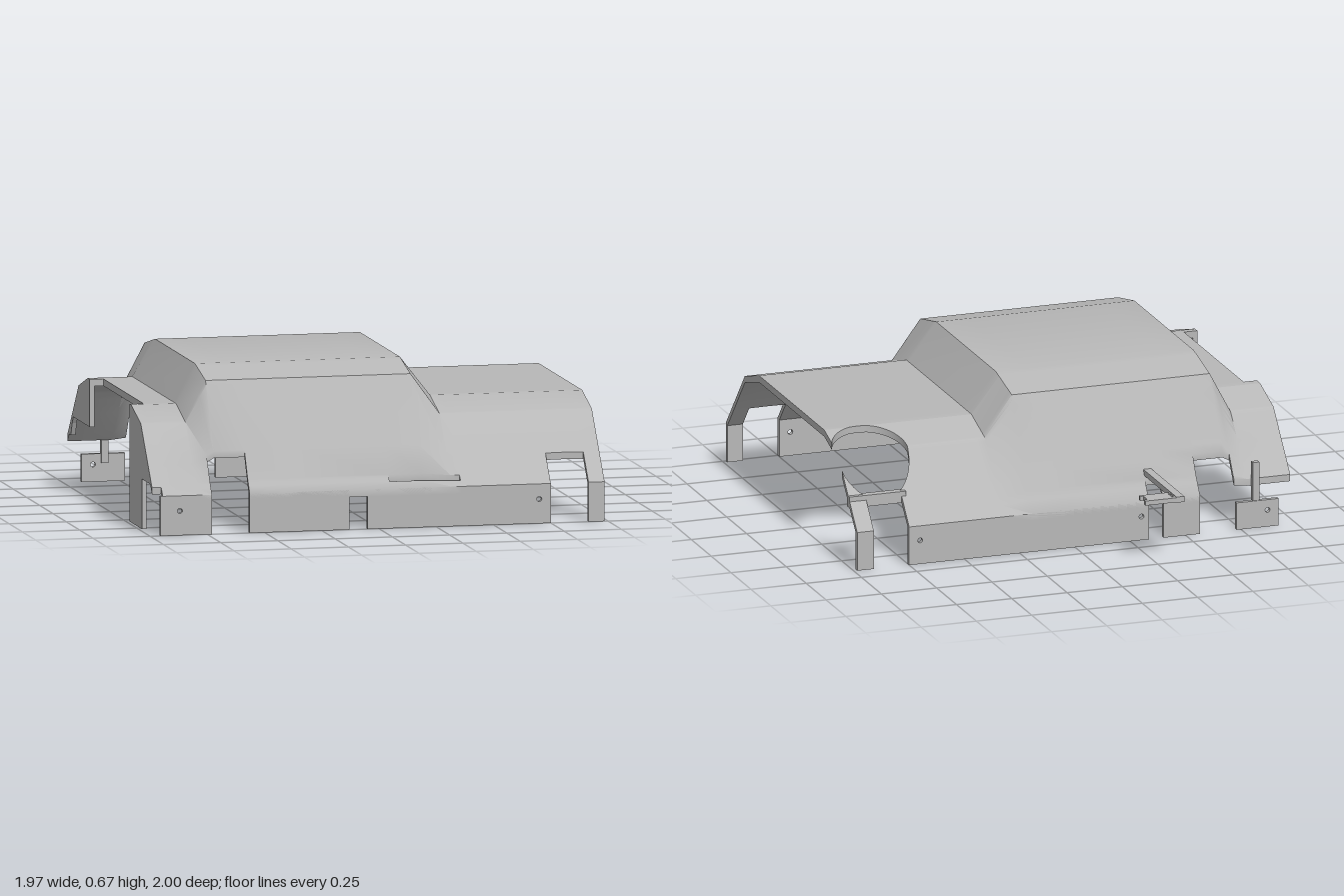
import * as THREE from 'three';
import { toCreasedNormals } from 'three/addons/utils/BufferGeometryUtils.js';

const THICK = 0.03;

// Piecewise-linear lookup in a table of [key, ...values]
function sample(table, k, col = 1) {
  for (let i = 1; i < table.length; i++) {
    const a = table[i - 1], b = table[i];
    if (k <= b[0]) {
      const t = Math.min(1, Math.max(0, (k - a[0]) / (b[0] - a[0])));
      return a[col] + (b[col] - a[col]) * t;
    }
  }
  return table[table.length - 1][col];
}

// Height profiles along z: low body and raised middle, mixed along x
const body = [[-0.655, 0.17], [-0.41, 0.45], [-0.24, 0.505], [0.58, 0.505], [0.76, 0.45], [1, 0.17]];
const raised = [[-0.655, 0.17], [-0.61, 0.235], [-0.4, 0.625], [-0.2, 0.67], [0.55, 0.67], [0.75, 0.625], [0.965, 0.22], [1, 0.17]];
const mix = [[-0.985, 0], [-0.79, 0], [-0.7, 1], [0.195, 1], [0.32, 0], [0.985, 0]];
function height(x, z) {
  const t = sample(mix, x), b = sample(body, z);
  return b + t * (Math.max(b, sample(raised, z)) - b);
}

// Left and right limits of the opening on the +x side: rear notch, round hole, front notch
const gap = [[-0.655, 0.75, 0.91], [-0.56, 0.75, 0.91]];
for (let k = 4; k <= 24; k++) {
  const a = (k / 24) * Math.PI, h = Math.max(0, 0.165 * Math.sin(a));
  gap.push([-0.4 - 0.165 * Math.cos(a), 0.835 - h, Math.min(0.985, 0.835 + h)]);
}
gap.push([0.899, 0.835, 0.835], [0.9, 0.75, 0.915], [1, 0.75, 0.915]);

// Rectangular cutouts: x0, x1, z0, z1
const cuts = [
  [-0.985, -0.925, -0.2, 0.55], [-0.985, -0.945, 0.97, 1], [-0.985, -0.73, -0.655, -0.62],
  [-0.73, -0.565, 0.9, 1], [-0.73, -0.565, -0.655, -0.56],
  [-0.4, -0.335, -0.655, -0.6], [0.05, 0.36, 0.962, 0.98],
];

// Thick sheet over a grid of rows (z) and columns (x), with walls round each opening
function shellGeometry() {
  const unique = (list) => [...new Set(list.map((v) => +v.toFixed(4)))].sort((a, b) => a - b);
  const zs = unique([body, raised, gap].flatMap((t) => t.map((r) => r[0])).concat(cuts.flatMap((c) => [c[2], c[3]])));
  const xs = unique(mix.map((r) => r[0]).concat(cuts.flatMap((c) => [c[0], c[1]]), 0.6)).filter((x) => x <= 0.6);
  const rows = zs.map((z) => [...xs, sample(gap, z, 1), sample(gap, z, 2), 0.985]);
  const n = rows[0].length, gapCol = xs.length;

  const width = (i, j) => Math.max(rows[i][j + 1] - rows[i][j], rows[i + 1][j + 1] - rows[i + 1][j]);
  const present = (i, j) => {
    if (i < 0 || j < 0 || i >= zs.length - 1 || j >= n - 1) return false;
    if (j === gapCol) return width(i, j) < 1e-3;
    const x = (rows[i][j] + rows[i][j + 1]) / 2, z = (zs[i] + zs[i + 1]) / 2;
    return !cuts.some((c) => x > c[0] && x < c[1] && z > c[2] && z < c[3]);
  };
  const top = (i, j) => [rows[i][j], height(rows[i][j], zs[i]), zs[i]];
  const under = (p) => [p[0], p[1] - THICK, p[2]];
  const out = [];
  const quad = (a, b, c, d) => out.push(...a, ...b, ...c, ...a, ...c, ...d);

  for (let i = 0; i < zs.length - 1; i++) {
    for (let j = 0; j < n - 1; j++) {
      if (!present(i, j) || width(i, j) < 1e-5) continue;
      const a = top(i, j), b = top(i, j + 1), c = top(i + 1, j + 1), d = top(i + 1, j);
      quad(a, d, c, b);
      quad(under(a), under(b), under(c), under(d));
      const wall = (p, q) => quad(p, under(p), under(q), q);
      if (!present(i, j - 1)) wall(a, d);
      if (!present(i + 1, j)) wall(d, c);
      if (!present(i, j + 1)) wall(c, b);
      if (!present(i - 1, j)) wall(b, a);
    }
  }
  const geo = new THREE.BufferGeometry();
  geo.setAttribute('position', new THREE.Float32BufferAttribute(out, 3));
  return toCreasedNormals(geo, 0.7);
}

export function createModel() {
  const group = new THREE.Group();
  const grey = new THREE.MeshStandardMaterial({ color: 0xb8b8b8 });
  grey.name = 'grey';

  function add(name, geometry) {
    const mesh = new THREE.Mesh(geometry, grey);
    mesh.name = name;
    group.add(mesh);
    return mesh;
  }
  // Box given by its limits
  function box(name, x0, x1, y0, y1, z0, z1) {
    add(name, new THREE.BoxGeometry(x1 - x0, y1 - y0, z1 - z0))
      .position.set((x0 + x1) / 2, (y0 + y1) / 2, (z0 + z1) / 2);
  }
  const outline = (pts) => new THREE.Shape(pts.map((p) => new THREE.Vector2(p[0], p[1])));
  const extrude = (shape) => new THREE.ExtrudeGeometry(shape, { depth: 0.02, bevelEnabled: false, curveSegments: 8 });

  add('shell', shellGeometry());

  // Vertical skirts with screw holes
  function skirt(name, z, x0, x1, y1, holes = []) {
    const shape = outline([[x0, 0], [x1, 0], [x1, y1], [x0, y1]]);
    for (const x of holes) shape.holes.push(new THREE.Path().absarc(x, 0.105 * y1 / 0.17, 0.011, 0, Math.PI * 2, true));
    add(name, extrude(shape)).position.z = z;
  }
  skirt('frontSkirt', 0.98, -0.955, -0.73, 0.17, [-0.87]);
  skirt('frontSkirt', 0.98, -0.565, -0.13, 0.17);
  skirt('frontSkirt', 0.98, -0.05, 0.75, 0.17, [0.7]);
  skirt('frontLeg', 0.98, 0.915, 0.985, 0.17);
  skirt('backPlate', -0.655, -0.92, -0.73, 0.12, [-0.87]);
  skirt('backSkirt', -0.655, -0.565, -0.4, 0.17);
  skirt('backSkirt', -0.655, -0.335, 0.75, 0.17, [-0.3, 0.7]);
  skirt('backLeg', -0.655, 0.91, 0.985, 0.17);

  // End panels of the two fenders, drawn in (z, y)
  function endPanel(name, pts) {
    add(name, extrude(outline(pts)).rotateY(-Math.PI / 2)).position.x = -0.965;
  }
  endPanel('frontFenderPanel', [[0.55, 0], [0.785, 0], [0.785, 0.215], [0.945, 0.215], [0.76, 0.435], [0.58, 0.49], [0.55, 0.49]]);
  endPanel('backFenderPanel', [[-0.2, 0.3], [-0.2, 0.49], [-0.24, 0.49], [-0.41, 0.435], [-0.6, 0.215],
    [-0.555, 0.215], [-0.53, 0.27], [-0.51, 0.3]]);

  // Post carrying the back plate, and bar across the back notch
  box('platePost', -0.835, -0.805, 0.08, 0.29, -0.65, -0.625);
  box('notchBar', 0.73, 0.985, 0.25, 0.3, -0.56, -0.525);

  // Rear arm with slotted end plate
  box('arm', -0.37, -0.335, 0.265, 0.29, -1, -0.55);
  const plate = outline([[-0.335, 0.915], [-0.195, 0.915], [-0.195, 0.93], [-0.21, 0.93], [-0.21, 0.98],
    [-0.195, 0.98], [-0.195, 1], [-0.335, 1]]);
  plate.holes.push(new THREE.Path([[-0.33, 0.93], [-0.33, 0.98], [-0.32, 0.98], [-0.32, 0.93]].map((p) => new THREE.Vector2(...p))));
  add('armPlate', extrude(plate).rotateX(-Math.PI / 2)).position.y = 0.267;

  return group;
}
